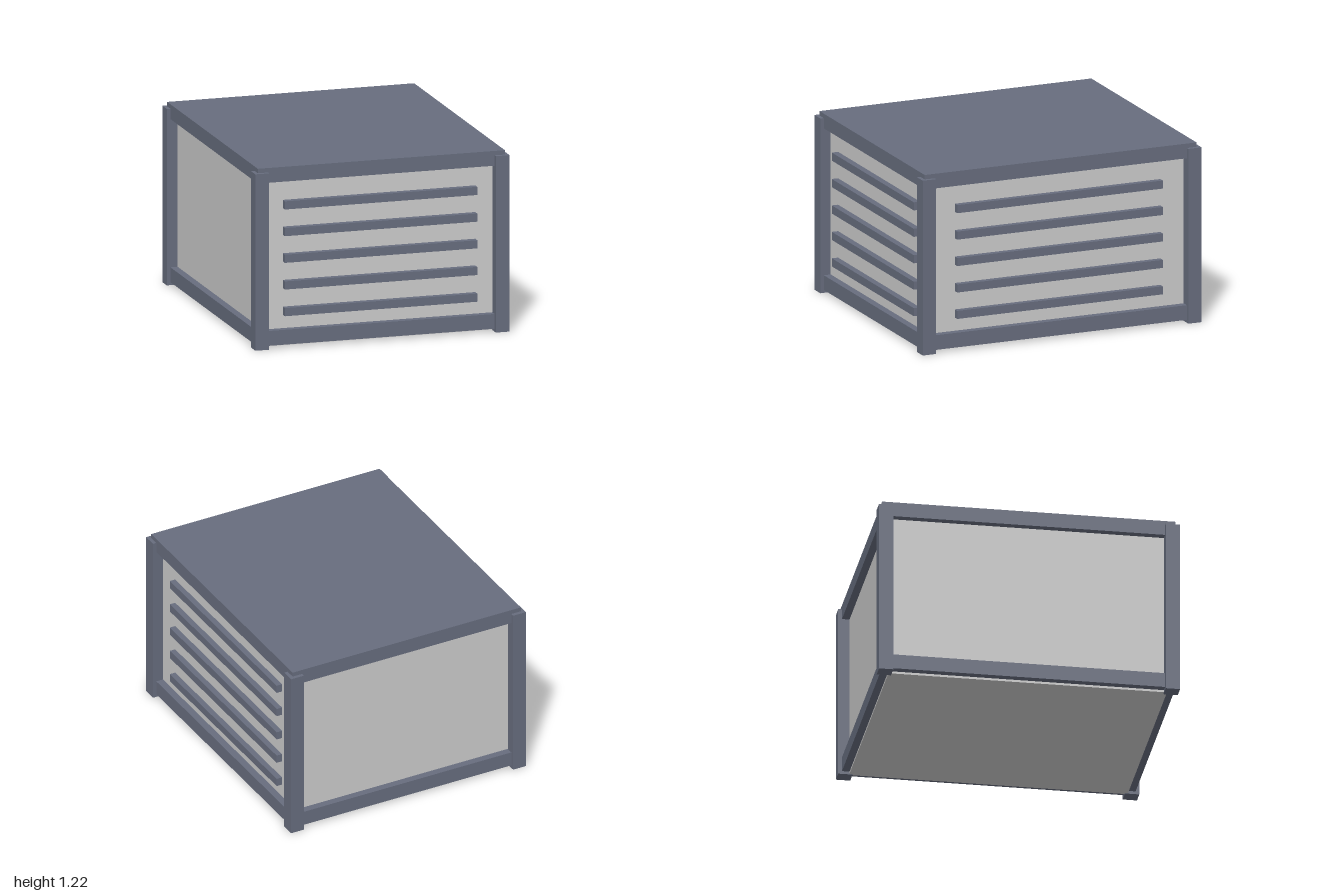
import * as THREE from 'three';

export function createModel() {
  const model = new THREE.Group();
  const panelMat = new THREE.MeshStandardMaterial({ color: 0xcccccc });
  const frameMat = new THREE.MeshStandardMaterial({ color: 0x676d7e });

  // Box given by its minimum and maximum corners
  function box(name, mat, min, max) {
    const size = max.map((v, i) => v - min[i]);
    const mesh = new THREE.Mesh(new THREE.BoxGeometry(...size), mat);
    mesh.position.set(...max.map((v, i) => (v + min[i]) / 2));
    mesh.name = name;
    model.add(mesh);
  }

  const bodyX = 0.8, bodyZ = 0.925;   // panel faces
  const frameX = 0.85, frameZ = 0.975; // rail and lid faces

  // Plain box body and the lid
  box('body', panelMat, [-bodyX, 0.005, -bodyZ], [bodyX, 1.13, bodyZ]);
  box('lid', frameMat, [-frameX, 1.12, -frameZ], [frameX, 1.22, frameZ]);

  // Corner posts
  for (const sx of [-1, 1]) {
    for (const sz of [-1, 1]) {
      const x = sx * 0.8275, z = sz * 0.9525;
      box('cornerPost', frameMat, [x - 0.0475, 0, z - 0.0475], [x + 0.0475, 1.19, z + 0.0475]);
    }
  }

  // Bottom rails on all four sides
  for (const s of [-1, 1]) {
    const z = s * (bodyZ + frameZ) / 2, x = s * (bodyX + frameX) / 2;
    box('bottomRail', frameMat, [-0.79, 0.02, z - 0.025], [0.79, 0.12, z + 0.025]);
    box('bottomRail', frameMat, [x - 0.025, 0.02, -0.915], [x + 0.025, 0.12, 0.915]);
  }

  // Slats on the front and on the +x side
  for (let i = 0; i < 5; i++) {
    const y = 0.21 + i * 0.18;
    box('frontSlat', frameMat, [-0.662, y, bodyZ - 0.01], [0.662, y + 0.055, 0.97]);
    box('sideSlat', frameMat, [bodyX - 0.01, y, -0.737], [0.84, y + 0.055, 0.737]);
  }

  return model;
}
